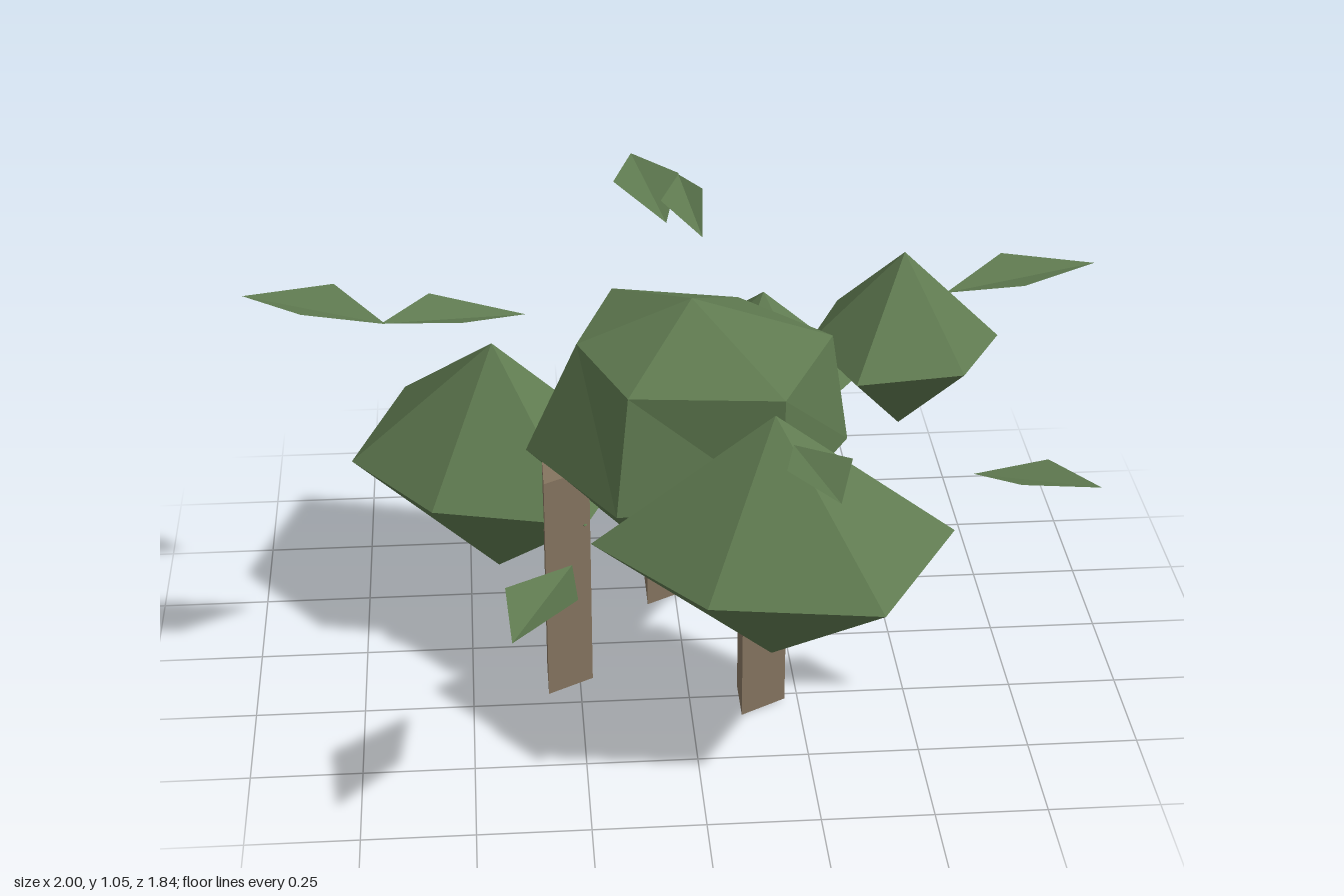
import * as THREE from 'three';

const foliage = new THREE.MeshStandardMaterial({ color: 0x5f7a50, flatShading: true });
const leafMat = new THREE.MeshStandardMaterial({ color: 0x5f7a50, flatShading: true, side: THREE.DoubleSide });
const bark = new THREE.MeshStandardMaterial({ color: 0x85745f, flatShading: true });

function meshFrom(name, triangles, material) {
  const geometry = new THREE.BufferGeometry();
  geometry.setAttribute('position', new THREE.Float32BufferAttribute(triangles.flat(2), 3));
  geometry.computeVertexNormals();
  const mesh = new THREE.Mesh(geometry, material);
  mesh.name = name;
  return mesh;
}

// Six-sided faceted clump: top point, rings of uneven radii, bottom point.
// Radii run anticlockwise seen from above, starting at +x.
function clump(name, [x, z], top, rings, bottom) {
  const apex = [x, top, z], base = [x, bottom, z];
  const loops = rings.map(([y, radii]) => radii.map((r, k) => {
    const a = k * Math.PI / 3;
    return [x + r * Math.cos(a), y, z - r * Math.sin(a)];
  }));
  const tris = [];
  const last = loops[loops.length - 1];
  for (let k = 0; k < 6; k++) {
    const n = (k + 1) % 6;
    tris.push([apex, loops[0][k], loops[0][n]]);
    for (let i = 0; i + 1 < loops.length; i++) {
      const u = loops[i], l = loops[i + 1];
      tris.push([u[k], l[k], l[n]], [u[k], l[n], u[n]]);
    }
    tris.push([base, last[n], last[k]]);
  }
  return meshFrom(name, tris, foliage);
}

// Floating leaf folded along its rib; corners in x,z: outer tip, side, inner tip, side
function leaf(yTip, drop, [tip, sideA, inner, sideB]) {
  const at = ([x, z], y) => [x, y, z];
  const t = at(tip, yTip), n = at(inner, yTip - drop);
  const a = at(sideA, yTip + 0.01), b = at(sideB, yTip + 0.005);
  // keep both halves facing up
  const cross = (sideA[1] - tip[1]) * (inner[0] - tip[0]) - (sideA[0] - tip[0]) * (inner[1] - tip[1]);
  const tris = cross > 0 ? [[t, a, n], [t, n, b]] : [[t, n, a], [t, b, n]];
  return meshFrom('leaf', tris, leafMat);
}

export function createModel() {
  const group = new THREE.Group();

  // Three-sided trunks
  for (const [x, z] of [[-0.29, 0.15], [-0.035, -0.23], [0.15, 0.27]]) {
    const trunk = new THREE.Mesh(new THREE.CylinderGeometry(0.07, 0.07, 0.56, 3, 1, false, Math.PI / 2), bark);
    trunk.position.set(x, 0.28, z);
    trunk.name = 'trunk';
    group.add(trunk);
  }

  // Foliage clumps
  group.add(
    clump('mainFoliage', [0.02, 0.045], 0.93, [
      [0.825, [0.32, 0.25, 0.33, 0.26, 0.32, 0.36]],
      [0.56, [0.36, 0.52, 0.475, 0.38, 0.38, 0.36]],
    ], 0.19),
    clump('frontFoliage', [0.17, 0.43], 0.83, [[0.53, [0.4, 0.28, 0.28, 0.4, 0.336, 0.4]]], 0.23),
    clump('rightFoliage', [-0.43, -0.185], 0.72, [[0.42, [0.34, 0.317, 0.436, 0.34, 0.3, 0.4]]], 0.12),
    clump('leftFoliage', [0.52, -0.1], 0.96, [[0.74, [0.225, 0.257, 0.247, 0.215, 0.268, 0.23]]], 0.52),
    clump('backFoliage', [0.24, -0.51], 0.675, [[0.455, [0.26, 0.285, 0.3, 0.24, 0.25, 0.24]]], 0.235),
  );

  // Loose leaves around the canopy
  const leaves = [
    [0.845, 0.035, [[-1, -0.22], [-0.79, -0.25], [-0.67, -0.12], [-0.86, -0.1]]],
    [1.045, 0.035, [[-0.66, 0.36], [-0.56, 0.24], [-0.355, 0.265], [-0.49, 0.38]]],
    [0.58, 0.03, [[-0.41, 0.9], [-0.42, 0.7], [-0.275, 0.55], [-0.27, 0.75]]],
    [0.885, 0.035, [[0.25, 0.915], [0.155, 0.79], [0.19, 0.6], [0.295, 0.74]]],
    [0.695, 0.025, [[0.86, 0.555], [0.765, 0.44], [0.605, 0.43], [0.69, 0.54]]],
    [0.84, 0.03, [[1, -0.265], [0.785, -0.315], [0.635, -0.19], [0.81, -0.14]]],
    [0.88, 0.035, [[-0.06, -0.92], [0.05, -0.76], [0.005, -0.56], [-0.115, -0.73]]],
    [0.91, 0.03, [[0.045, -0.705], [0.095, -0.59], [0.08, -0.39], [-0.01, -0.535]]],
  ];
  for (const [y, drop, corners] of leaves) group.add(leaf(y, drop, corners));

  return group;
}
